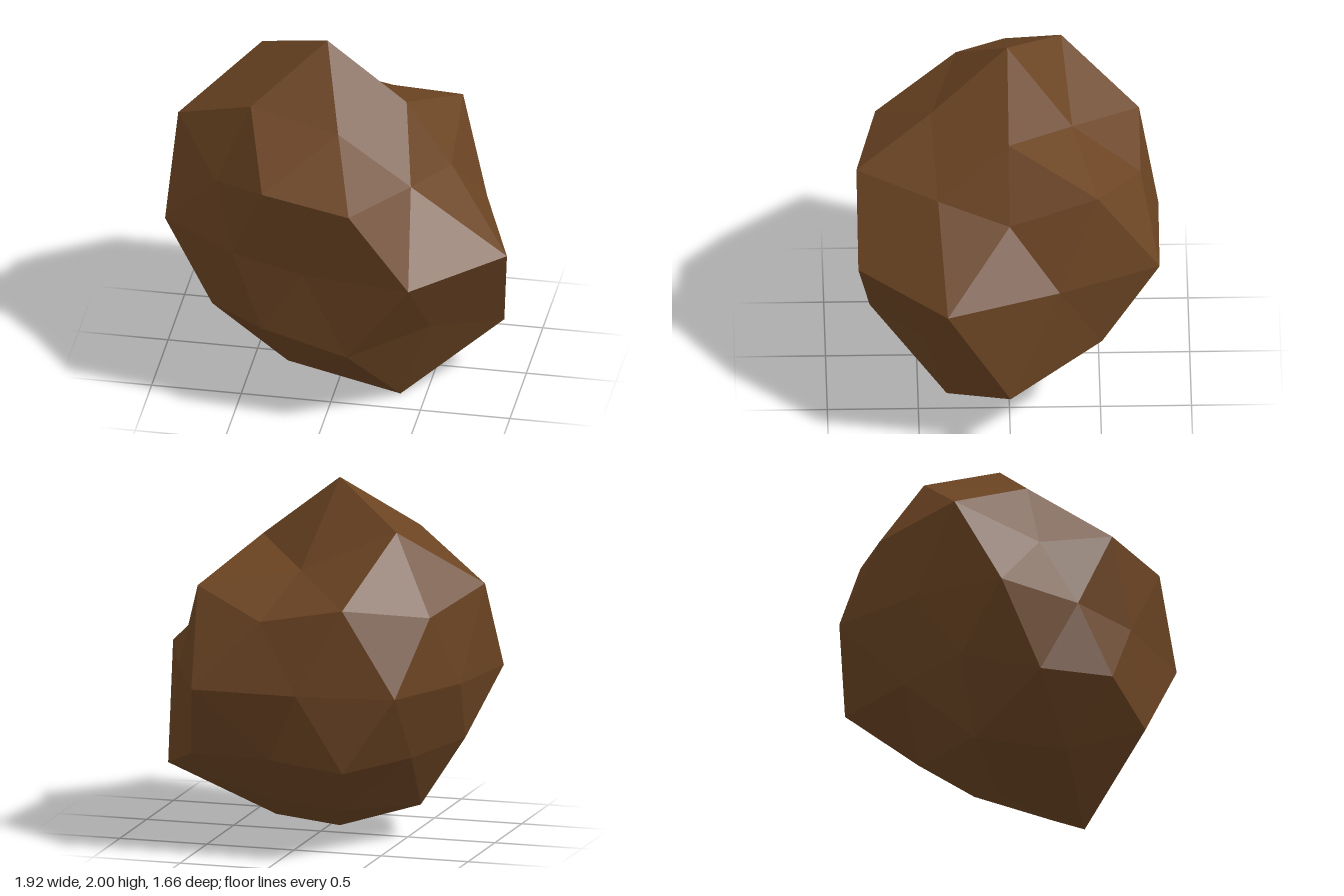
import * as THREE from 'three';
import { ConvexGeometry } from 'three/addons/geometries/ConvexGeometry.js';

// Rings of a once-subdivided icosphere: height, first azimuth in degrees, and
// the distance of each vertex from the centre, going from +x towards +z.
const RINGS = [
  { y: 1, start: 0, radii: [1.06] },
  { y: 0.8507, start: 0, radii: [0.84, 0.845, 0.89, 0.985, 0.71] },
  { y: 0.5257, start: 36, radii: [0.78, 0.89, 0.98, 0.9, 0.97] },
  { y: 0.4472, start: 0, radii: [0.775, 0.98, 0.76, 0.92, 0.855] },
  { y: 0, start: 18, radii: [1.12, 1.025, 0.755, 0.72, 0.9, 0.81, 0.93, 0.83, 1.02, 0.885] },
  { y: -0.4472, start: 36, radii: [0.915, 0.85, 0.805, 0.95, 0.965] },
  { y: -0.5257, start: 0, radii: [1.16, 0.94, 0.825, 0.77, 0.785] },
  { y: -0.8507, start: 36, radii: [1.105, 0.87, 0.885, 0.845, 0.835] },
  { y: -1, start: 0, radii: [0.9] },
];
const CENTRE = new THREE.Vector3(-0.11, 0.94, 0);

function rockGeometry() {
  const dirs = [];
  const radii = [];
  for (const { y, start, radii: list } of RINGS) {
    const h = Math.sqrt(1 - y * y);
    list.forEach((r, i) => {
      const a = THREE.MathUtils.degToRad(start + (i * 360) / list.length);
      dirs.push(new THREE.Vector3(h * Math.cos(a), y, h * Math.sin(a)));
      radii.push(r);
    });
  }

  // Facet the unit sphere, then push each corner in or out along its direction
  const geometry = new ConvexGeometry(dirs);
  const pos = geometry.attributes.position;
  const v = new THREE.Vector3();
  for (let i = 0; i < pos.count; i++) {
    v.fromBufferAttribute(pos, i);
    let nearest = 0;
    dirs.forEach((d, k) => {
      if (d.distanceToSquared(v) < dirs[nearest].distanceToSquared(v)) nearest = k;
    });
    v.copy(dirs[nearest]).multiplyScalar(radii[nearest]).add(CENTRE);
    pos.setXYZ(i, v.x, v.y, v.z);
  }
  geometry.computeVertexNormals();
  return geometry;
}

export function createModel() {
  const group = new THREE.Group();
  group.name = 'rock';

  const brown = new THREE.MeshStandardMaterial({ color: 0x6b4423, flatShading: true });
  brown.name = 'brown stone';

  const boulder = new THREE.Mesh(rockGeometry(), brown);
  boulder.name = 'boulder';
  group.add(boulder);
  return group;
}
